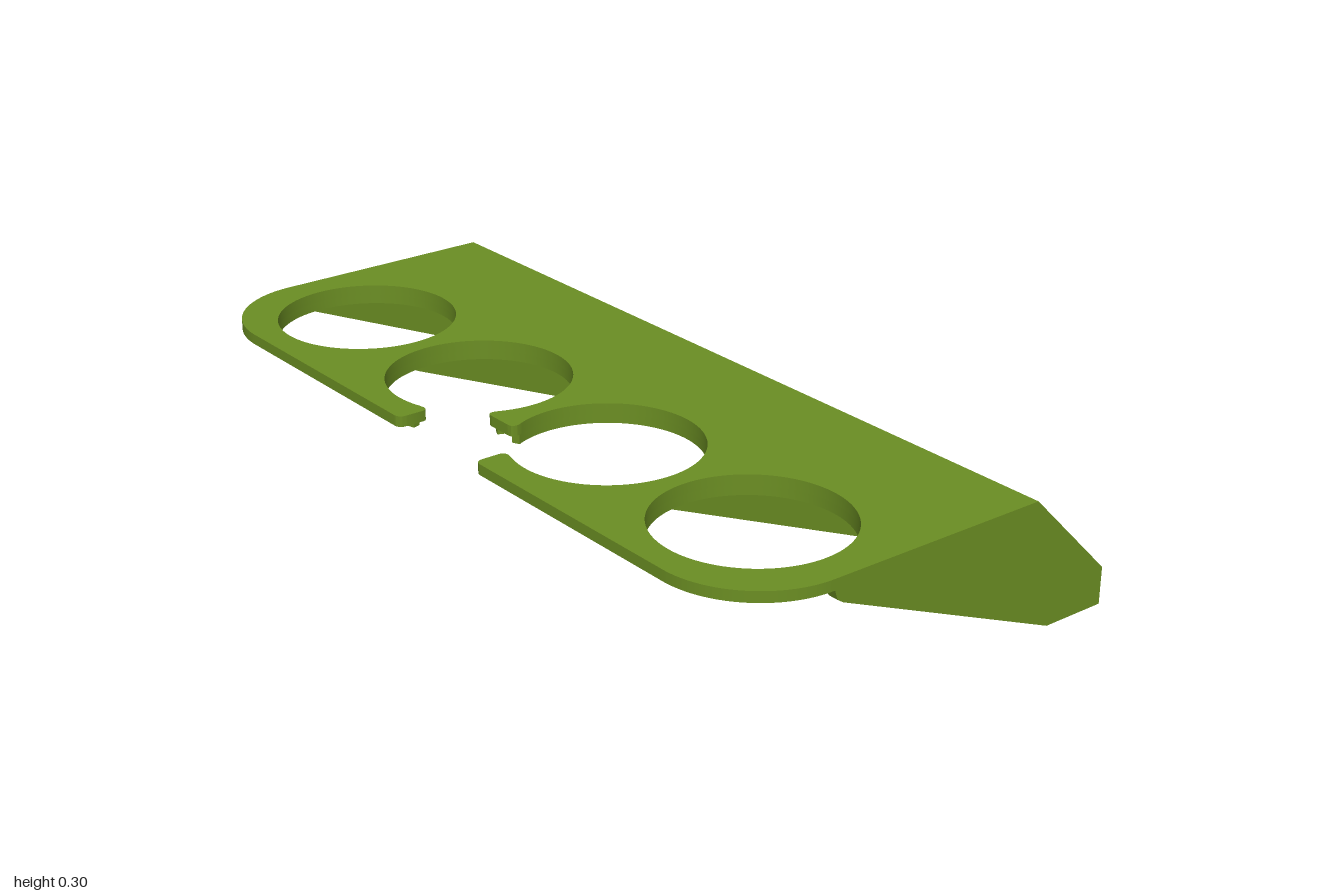
import * as THREE from 'three';
import { toCreasedNormals } from 'three/addons/utils/BufferGeometryUtils.js';

const HEIGHT = 0.302, SHEET = 0.025;      // overall height, sheet thickness
const UNDER = HEIGHT - SHEET;             // underside of the top plate
const HOLE_R = 0.2135, RING_R = 0.232, HOLE_Z = 0.224;
const INNER_X = 0.238, OUTER_X = 0.711;   // hole centres
const rad = THREE.MathUtils.degToRad;

export function createModel() {
  const group = new THREE.Group();
  const material = new THREE.MeshStandardMaterial({ color: 0x6b8e23 });

  const add = (name, geometry) => {
    const mesh = new THREE.Mesh(toCreasedNormals(geometry, rad(30)), material);
    mesh.name = name;
    group.add(mesh);
  };
  const extrude = (shape, depth) =>
    new THREE.ExtrudeGeometry(shape, { depth, bevelEnabled: false, curveSegments: 48 });
  // Shape drawn in (x, z), thickened downwards from y = top
  const slab = (shape, depth, top) => extrude(shape, depth).rotateX(Math.PI / 2).translate(0, top, 0);
  // Profile drawn in (z, y), thickened along x and centred on x
  const profile = (points, width, x) => {
    const shape = new THREE.Shape(points.map(([z, y]) => new THREE.Vector2(-z, y)));
    return extrude(shape, width).translate(0, 0, -width / 2).rotateY(Math.PI / 2).translate(x, 0, 0);
  };
  const circle = (x, y, r) => new THREE.Path().absarc(x, y, r, 0, Math.PI * 2, true);

  // Top plate: rounded front corners, two closed holes, two holes open to the front gap
  const plate = new THREE.Shape();
  plate.moveTo(-1, -0.273);
  plate.lineTo(1, -0.273);
  plate.absarc(0.77, 0.27, 0.23, 0, Math.PI / 2, false);
  plate.lineTo(0.165, 0.5);
  plate.quadraticCurveTo(0.145, 0.5, 0.145, 0.48);
  plate.lineTo(0.145, 0.44);
  plate.quadraticCurveTo(0.145, 0.425, 0.16, 0.425);
  plate.absarc(INNER_X, HOLE_Z, HOLE_R, rad(107), rad(-205), true);
  plate.quadraticCurveTo(0.05, 0.335, 0.03, 0.335);
  plate.lineTo(-0.03, 0.335);
  plate.quadraticCurveTo(-0.05, 0.335, -0.0445, 0.314);
  plate.absarc(-INNER_X, HOLE_Z, HOLE_R, rad(25), rad(-287), true);
  plate.lineTo(-0.16, 0.425);
  plate.quadraticCurveTo(-0.145, 0.425, -0.145, 0.44);
  plate.lineTo(-0.145, 0.48);
  plate.quadraticCurveTo(-0.145, 0.5, -0.165, 0.5);
  plate.absarc(-0.77, 0.27, 0.23, Math.PI / 2, Math.PI, false);
  plate.holes.push(circle(-OUTER_X, HOLE_Z, HOLE_R), circle(OUTER_X, HOLE_Z, HOLE_R));
  add('topPlate', slab(plate, SHEET, HEIGHT));

  // Collars under the holes
  for (const side of [-1, 1]) {
    const ring = new THREE.Shape().absarc(side * OUTER_X, HOLE_Z, RING_R, 0, Math.PI * 2, false);
    ring.holes.push(circle(side * OUTER_X, HOLE_Z, HOLE_R));
    add('outerCollar', slab(ring, 0.022, UNDER));

    const [from, to] = side > 0 ? [155, 467] : [-287, 25];
    const arc = new THREE.Shape();
    arc.absarc(side * INNER_X, HOLE_Z, RING_R, rad(from), rad(to), false);
    arc.absarc(side * INNER_X, HOLE_Z, HOLE_R, rad(to), rad(from), true);
    add('openCollar', slab(arc, 0.022, UNDER));
  }

  // Sloped panel joining the plate to the back wall
  add('slopedPanel', profile([[-0.5, 0.075], [-0.475, 0.075], [-0.273, UNDER],
    [-0.273, HEIGHT], [-0.285, HEIGHT], [-0.5, 0.087]], 2, 0));

  // Back wall with countersunk screw holes
  const wall = new THREE.Shape();
  wall.moveTo(-1, 0).lineTo(1, 0).lineTo(1, 0.075).lineTo(-1, 0.075).closePath();
  const screwXs = [-0.845, 0, 0.845];
  for (const x of screwXs) wall.holes.push(circle(x, 0.0375, 0.036));
  add('backWall', extrude(wall, SHEET).translate(0, 0, -0.5));
  for (const x of screwXs) {
    const sink = [[0.036, 0.025], [0.021, 0.012], [0.021, 0], [0.036, 0]];
    const seat = new THREE.LatheGeometry(sink.map(p => new THREE.Vector2(...p)), 48);
    // Lathe axis turned to run from back to front
    seat.rotateX(Math.PI / 2).translate(x, 0.0375, -0.5);
    add('screwSeat', seat);
    group.children.at(-1).material = Object.assign(material.clone(), { side: THREE.DoubleSide });
  }

  // Side gussets and inner ribs
  const rib = [[-0.475, 0], [-0.34, 0], [0.245, 0.245], [0.26, 0.255], [0.267, UNDER],
    [-0.273, UNDER], [-0.475, 0.075]];
  for (const side of [-1, 1]) {
    add('sideGusset', profile(rib, SHEET, side * 0.9875));
    add('innerRib', profile(rib, 0.023, side * 0.4745));
  }
  return group;
}
